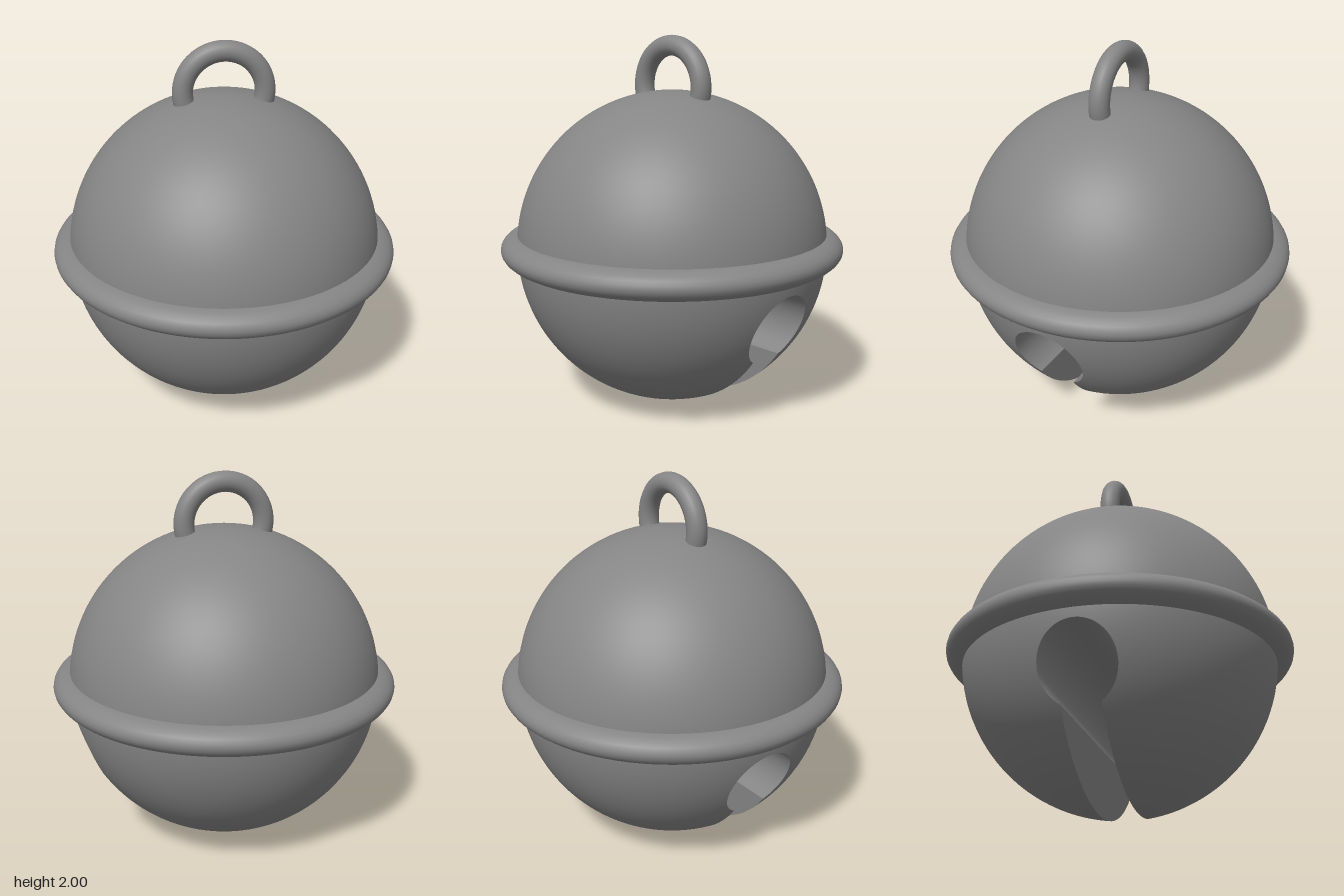
import * as THREE from 'three';
import { mergeGeometries } from 'three/addons/utils/BufferGeometryUtils.js';

const R = 0.857, CENTRE_Y = 0.851;           // bell body sphere
const SLOT = 0.1, HOLE = 0.197, HOLE_Y = -0.321; // keyhole, relative to the sphere centre

// Keyhole edge on the sphere for the +x, +z quarter: round hole (t 0..1)...
const endAngle = Math.PI - Math.asin(SLOT / HOLE);
function holeEdge(t) {
  const a = t * endAngle;
  const z = HOLE * Math.sin(a), y = HOLE_Y + HOLE * Math.cos(a);
  return new THREE.Vector3(Math.sqrt(R * R - y * y - z * z), y, z);
}
// ...then the slot, running down to the bottom of the sphere
const rho = Math.sqrt(R * R - SLOT * SLOT);
const slotStart = Math.asin(-holeEdge(1).y / rho);
function slotEdge(t) {
  const a = THREE.MathUtils.lerp(slotStart, Math.PI / 2, t);
  return new THREE.Vector3(rho * Math.cos(a), -rho * Math.sin(a), SLOT);
}

// Outer limits of the quarter: the equator, then the x = 0 meridian
function equator(t) {
  const a = t * Math.PI / 2;
  return new THREE.Vector3(R * Math.cos(a), 0, R * Math.sin(a));
}
function meridian(t) {
  const a = t * Math.acos(SLOT / R);
  return new THREE.Vector3(0, -R * Math.sin(a), R * Math.cos(a));
}

// Grid surface from fn(u, v), optionally mirrored in x and z
function surface(fn, nu, nv, sx, sz, spherical) {
  const pos = [], index = [];
  for (let i = 0; i <= nu; i++) {
    for (let j = 0; j <= nv; j++) {
      const p = fn(i / nu, j / nv);
      pos.push(p.x * sx, p.y, p.z * sz);
      if (i === nu || j === nv) continue;
      const a = i * (nv + 1) + j, b = a + nv + 1;
      if (sx * sz > 0) index.push(a, b, a + 1, b, b + 1, a + 1);
      else index.push(a, a + 1, b, b, a + 1, b + 1);
    }
  }
  const g = new THREE.BufferGeometry();
  g.setAttribute('position', new THREE.Float32BufferAttribute(pos, 3));
  g.setIndex(index);
  if (spherical) g.setAttribute('normal', new THREE.Float32BufferAttribute(pos.map((v) => v / R), 3));
  else g.computeVertexNormals();
  return g;
}

// Patch of sphere between an outer limit and the keyhole edge
const patch = (outer, inner) => (u, v) => outer(u).lerp(inner(u), v).setLength(R);
// Wall of the cut, straight through the body along x
const wall = (edge) => (u, v) => {
  const p = edge(u);
  p.x *= 1 - 2 * v;
  return p;
};

export function createModel() {
  const model = new THREE.Group();
  model.name = 'jingleBell';
  const material = new THREE.MeshStandardMaterial({ color: 0x858585 });
  const add = (name, geometry, y) => {
    const mesh = new THREE.Mesh(geometry, material);
    mesh.name = name;
    mesh.position.y = y;
    model.add(mesh);
  };

  // Upper half of the body
  add('upperBody', new THREE.SphereGeometry(R, 96, 32, 0, Math.PI * 2, 0, Math.PI / 2), CENTRE_Y);

  // Lower half with the keyhole cut through it
  const shells = [], walls = [];
  for (const sz of [1, -1]) {
    for (const sx of [1, -1]) {
      shells.push(surface(patch(equator, holeEdge), 32, 20, sx, sz, true));
      shells.push(surface(patch(meridian, slotEdge), 32, 20, sx, sz, true));
    }
    walls.push(surface(wall(holeEdge), 32, 4, 1, sz, false));
    walls.push(surface(wall(slotEdge), 32, 4, 1, sz, false));
  }
  add('lowerBody', mergeGeometries(shells), CENTRE_Y);
  add('keyholeWalls', mergeGeometries(walls), CENTRE_Y);

  // Flattened ring around the middle
  const ring = new THREE.TorusGeometry(0.825, 0.12, 24, 96);
  ring.rotateX(Math.PI / 2);
  ring.scale(1, 0.67, 1);
  add('middleRing', ring, 0.855);

  // Hanging loop, its lower part sunk into the body
  const loopR = 0.218, tube = 0.055;
  add('hangingLoop', new THREE.TorusGeometry(loopR, tube, 20, 64), 2 - loopR - tube);
  return model;
}
